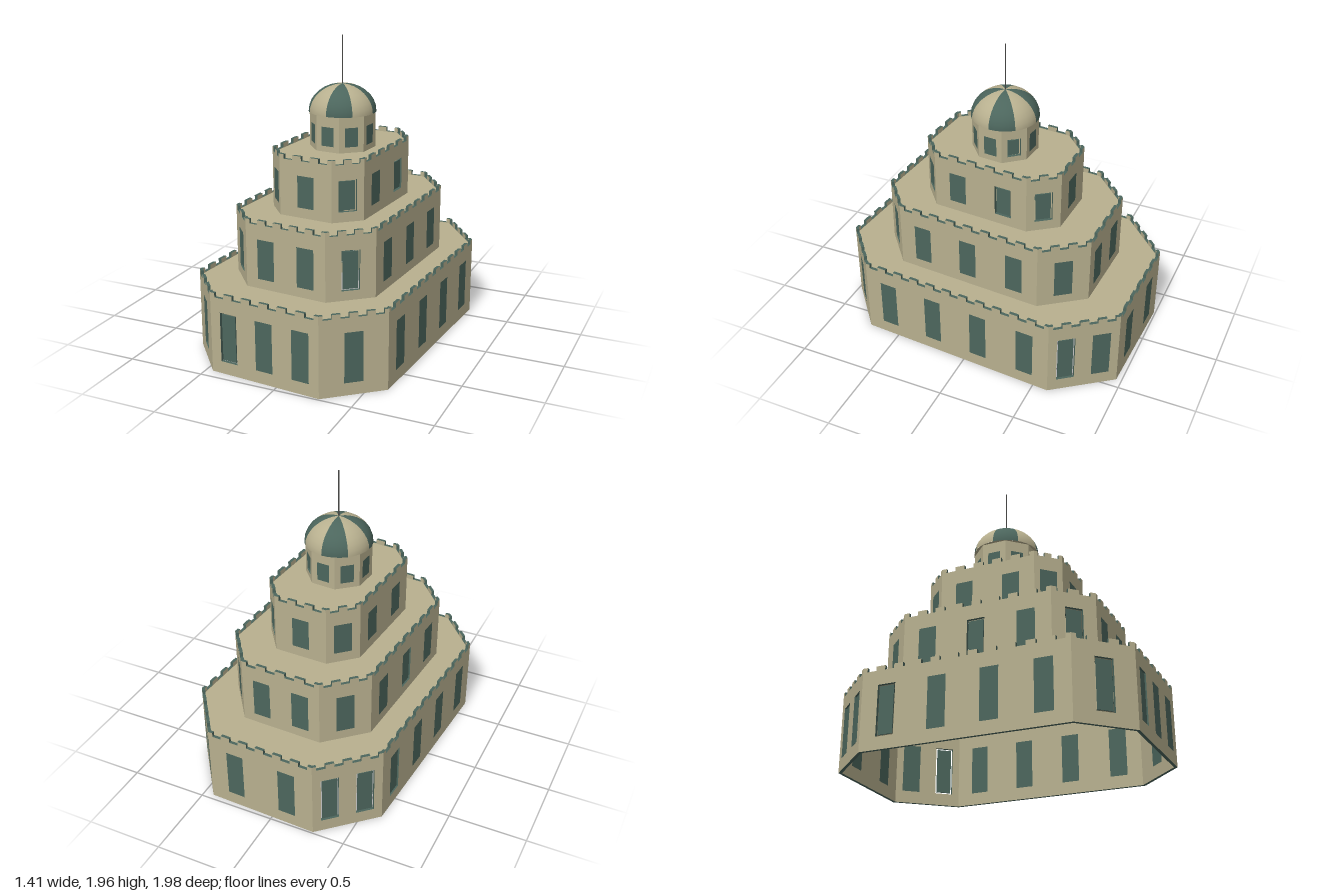
import * as THREE from 'three';

const stone = new THREE.MeshStandardMaterial({ color: 0xb8b08f });
stone.name = 'stone';
const roofStone = stone.clone();
roofStone.name = 'roofStone';
roofStone.side = THREE.DoubleSide;
const green = new THREE.MeshStandardMaterial({ color: 0x4c665d });
green.name = 'darkGreen';
const metal = new THREE.MeshStandardMaterial({ color: 0x4a4a48 });
metal.name = 'poleMetal';

const THICK = 0.02;
const TILT = THREE.MathUtils.degToRad(4.6); // the whole plan is turned slightly

// Ground plan, x and z, running from the front round by the left side
const PLAN = [
  [0.29, 0.99], [0.615, 0.72], [0.705, -0.60], [0.435, -0.965],
  [-0.29, -0.99], [-0.62, -0.685], [-0.71, 0.63], [-0.455, 0.93],
];
const scaled = (s) => PLAN.map(([x, z]) => [x * s, z * s]);

// counts = windows per wall; loose = "wall:window" whose pane is smaller than its opening
const TIERS = [
  { name: 'lowerTier', plan: scaled(1), y0: 0, y1: 0.52, sill: 0.08, head: 0.4, width: 0.116,
    counts: [1, 4, 2, 2, 2, 4, 1, 3], loose: ['2:0', '4:0', '4:1', '5:0', '6:0', '7:0'], notch: 0.028 },
  { name: 'middleTier', plan: scaled(0.738), y0: 0.485, y1: 0.927, sill: 0.55, head: 0.805, width: 0.116,
    counts: [1, 3, 1, 2, 1, 3, 1, 2], loose: ['0:0', '5:1', '6:0'], notch: 0.028 },
  { name: 'upperTier', plan: scaled(0.484), y0: 0.895, y1: 1.285, sill: 0.96, head: 1.163, width: 0.114,
    counts: [1, 2, 1, 1, 1, 2, 1, 1], loose: ['0:0', '1:1', '2:0'], notch: 0.028 },
];

// Regular octagonal drum under the dome
const drumPlan = Array.from({ length: 8 }, (_, k) => {
  const a = -TILT + Math.PI / 8 + (k * Math.PI) / 4;
  return [0.21 * Math.sin(a), 0.21 * Math.cos(a)];
});
const DRUM = { name: 'drum', plan: drumPlan, y0: 1.25, y1: 1.49, sill: 1.29, head: 1.412, width: 0.085,
  counts: Array(8).fill(1), loose: ['2:0'], notch: 0 };

// One upright wall with notched top and window openings; local z points outward
function wall(len, tier, index) {
  const group = new THREE.Group();
  group.name = tier.name + 'Wall';
  const { y0, y1, sill, head, width, notch } = tier;
  const shape = new THREE.Shape();
  shape.moveTo(0, y0);
  shape.lineTo(len, y0);
  shape.lineTo(len, y1);
  if (notch) {
    const n = Math.max(2, Math.round(len / 0.12));
    const step = len / n;
    for (let i = n - 1; i >= 0; i--) {
      const right = (i + 0.75) * step, left = (i + 0.25) * step;
      shape.lineTo(right, y1);
      shape.lineTo(right, y1 - notch);
      shape.lineTo(left, y1 - notch);
      shape.lineTo(left, y1);
    }
  }
  shape.lineTo(0, y1);
  shape.closePath();

  const count = tier.counts[index];
  for (let i = 0; i < count; i++) {
    const c = ((i + 0.5) / count) * len, h = width / 2;
    const hole = new THREE.Path();
    hole.moveTo(c - h, sill);
    hole.lineTo(c - h, head);
    hole.lineTo(c + h, head);
    hole.lineTo(c + h, sill);
    hole.closePath();
    shape.holes.push(hole);

    const isLoose = tier.loose.includes(`${index}:${i}`);
    const gap = isLoose ? 0.02 : 0;
    const depth = isLoose ? 0.008 : THICK;
    const pane = new THREE.Mesh(new THREE.BoxGeometry(width - gap, head - sill - gap, depth), green);
    pane.position.set(c, (sill + head) / 2, -THICK / 2);
    pane.name = 'windowPane';
    group.add(pane);
  }
  const geo = new THREE.ExtrudeGeometry(shape, { depth: THICK, bevelEnabled: false });
  geo.translate(0, 0, -THICK);
  const mesh = new THREE.Mesh(geo, [stone, green]); // stone faces, green edges
  mesh.name = 'wallPanel';
  group.add(mesh);
  return group;
}

function wallRing(tier) {
  const group = new THREE.Group();
  group.name = tier.name;
  tier.plan.forEach(([x, z], i) => {
    const [nx, nz] = tier.plan[(i + 1) % tier.plan.length];
    const w = wall(Math.hypot(nx - x, nz - z), tier, i);
    w.position.set(x, 0, z);
    w.rotation.y = Math.atan2(z - nz, nx - x);
    group.add(w);
  });
  return group;
}

// Flat terrace, open where the next storey stands
function terrace(plan, holePlan, y) {
  const points = (p, s) => p.map(([x, z]) => new THREE.Vector2(x * s, -z * s));
  const shape = new THREE.Shape(points(plan, 0.985));
  shape.holes.push(new THREE.Path(points(holePlan, 0.985)));
  const mesh = new THREE.Mesh(new THREE.ShapeGeometry(shape), roofStone);
  mesh.rotation.x = -Math.PI / 2;
  mesh.position.y = y;
  mesh.name = 'terrace';
  return mesh;
}

function dome() {
  const group = new THREE.Group();
  group.name = 'dome';
  const radius = 0.215;
  // Eight gores in alternating colours
  for (let i = 0; i < 8; i++) {
    const start = Math.PI / 2 - TILT + (i * Math.PI) / 4;
    const geo = new THREE.SphereGeometry(radius, 4, 8, start, Math.PI / 4, 0, Math.PI / 2);
    const gore = new THREE.Mesh(geo, i % 2 ? stone : green);
    gore.scale.y = 0.175 / radius;
    gore.name = 'domeGore';
    group.add(gore);
  }
  const base = new THREE.Mesh(new THREE.CircleGeometry(radius, 32), stone);
  base.rotation.x = Math.PI / 2;
  base.name = 'domeUnderside';
  group.add(base);
  group.position.y = 1.482;
  return group;
}

export function createModel() {
  const model = new THREE.Group();
  model.name = 'tieredTower';
  const storeys = [...TIERS, DRUM];
  storeys.forEach((tier) => model.add(wallRing(tier)));
  TIERS.forEach((tier, i) => {
    model.add(terrace(tier.plan, storeys[i + 1].plan, tier.y1 - tier.notch - 0.003));
  });
  model.add(dome());

  const pole = new THREE.Mesh(new THREE.CylinderGeometry(0.004, 0.004, 0.32, 8), metal);
  pole.position.y = 1.8;
  pole.name = 'flagPole';
  model.add(pole);
  return model;
}
